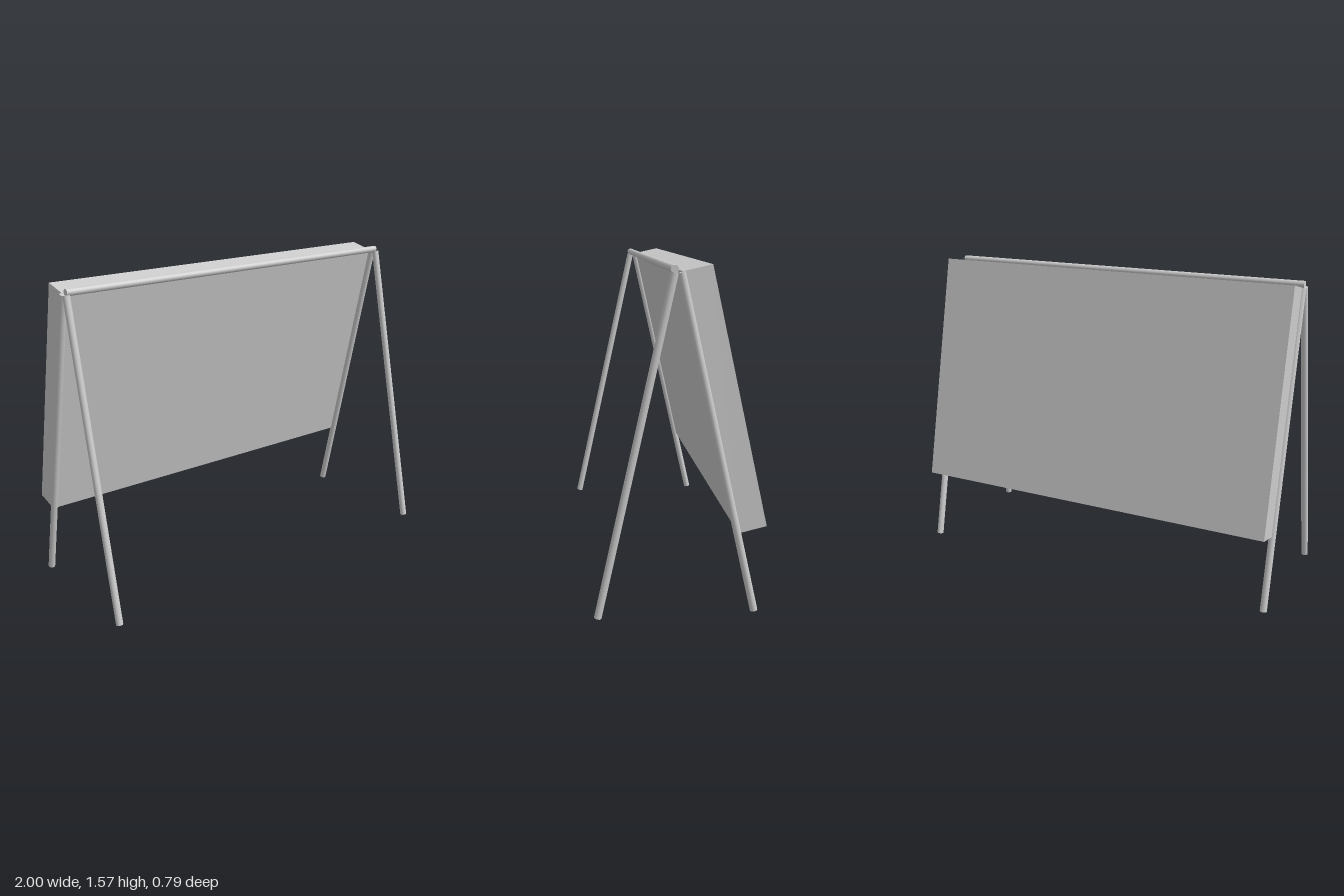
import * as THREE from 'three';

const material = new THREE.MeshStandardMaterial({ color: 0xcccccc });
const RADIUS = 0.0175;
const UP = new THREE.Vector3(0, 1, 0);

// Straight round tube between two points
function tube(name, from, to) {
  const a = new THREE.Vector3(...from);
  const dir = new THREE.Vector3(...to).sub(a);
  const mesh = new THREE.Mesh(new THREE.CylinderGeometry(RADIUS, RADIUS, dir.length(), 16), material);
  mesh.name = name;
  mesh.position.copy(a).addScaledVector(dir, 0.5);
  mesh.quaternion.setFromUnitVectors(UP, dir.normalize());
  return mesh;
}

export function createModel() {
  const group = new THREE.Group();
  group.name = 'aFrameBoard';

  // Two splayed legs on each side
  for (const [side, x] of [['left', 0.9825], ['right', -0.9825]]) {
    group.add(
      tube(side + 'FrontLeg', [x, 0.004, 0.377], [x, 1.54, 0.034]),
      tube(side + 'BackLeg', [x, 0.004, -0.337], [x, 1.54, 0.005]),
    );
  }

  // Bar joining the tops of the front legs
  group.add(tube('topBar', [-0.985, 1.553, 0.033], [0.975, 1.553, 0.033]));

  // Thick panel leaning along the back legs
  const panel = new THREE.Mesh(new THREE.BoxGeometry(1.957, 1.2, 0.133), material);
  panel.name = 'panel';
  panel.position.set(-0.006, 0.972, -0.196);
  panel.rotation.x = Math.atan2(0.26, 1.17);
  group.add(panel);

  return group;
}
